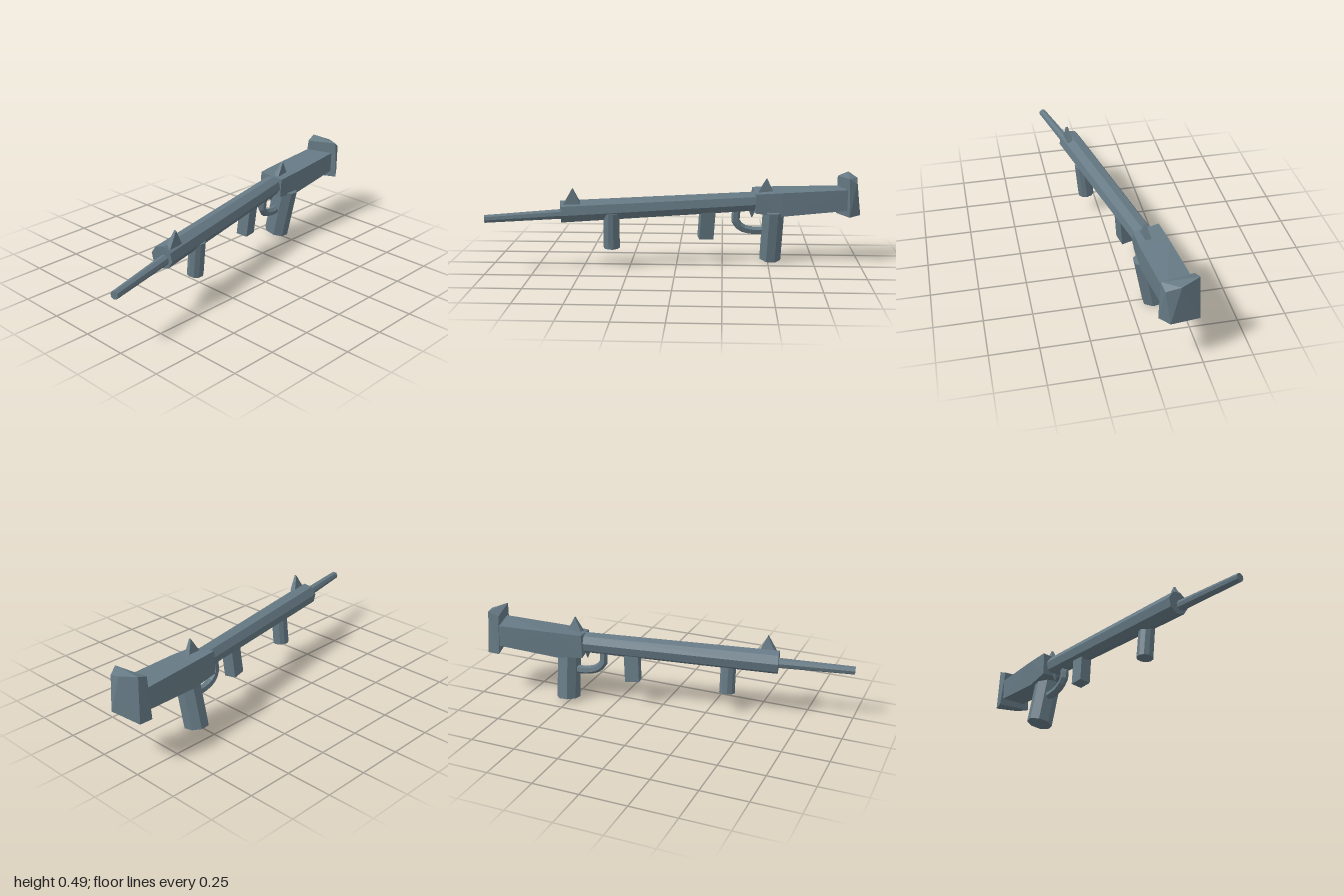
import * as THREE from 'three';
import { ConvexGeometry } from 'three/addons/geometries/ConvexGeometry.js';

const material = new THREE.MeshStandardMaterial({ color: 0x667a85, flatShading: true });
const V = (p) => new THREE.Vector3(...p);

export function createModel() {
  const group = new THREE.Group();

  const add = (name, geometry) => {
    const mesh = new THREE.Mesh(geometry, material);
    mesh.name = name;
    group.add(mesh);
    return mesh;
  };

  // Faceted rod from a to b; squash narrows it across its local x
  const rod = (name, a, b, ra, rb, sides, squash = 1) => {
    const dir = V(b).sub(V(a));
    const geo = new THREE.CylinderGeometry(rb, ra, dir.length(), sides);
    geo.rotateY(Math.PI / sides).scale(squash, 1, 1);
    const mesh = add(name, geo);
    mesh.quaternion.setFromUnitVectors(new THREE.Vector3(0, 1, 0), dir.normalize());
    mesh.position.copy(V(a).add(V(b)).multiplyScalar(0.5));
  };

  // Solid block spanned by its corner points
  const block = (name, corners) => add(name, new ConvexGeometry(corners.map(V)));

  // Barrel and main tube
  rod('barrel', [-0.995, 0.297, 0.22], [-0.58, 0.31, 0.125], 0.022, 0.028, 8);
  rod('mainTube', [-0.61, 0.319, 0.117], [0.45, 0.345, -0.097], 0.063, 0.056, 8);

  // Receiver and stock share the middle cross-section
  const rear = [
    [0.57, 0.4, -0.033], [0.57, 0.27, -0.035],
    [0.56, 0.265, -0.18], [0.56, 0.412, -0.185],
  ];
  block('receiver', [
    [0.43, 0.392, -0.028], [0.43, 0.286, -0.035],
    [0.405, 0.282, -0.165], [0.41, 0.41, -0.165], ...rear,
  ]);
  block('stock', [
    ...rear, [0.94, 0.415, -0.068], [0.94, 0.3, -0.072],
    [0.9, 0.295, -0.222], [0.9, 0.412, -0.222],
  ]);

  // Flared, slightly skewed butt plate
  block('buttPlate', [
    [0.885, 0.468, -0.215], [0.93, 0.48, -0.043],
    [0.885, 0.252, -0.24], [0.935, 0.268, -0.037],
    [0.943, 0.491, -0.225], [0.97, 0.45, -0.057],
    [0.98, 0.473, -0.13], [0.997, 0.275, -0.08], [0.955, 0.25, -0.235],
  ]);

  // Grips
  rod('frontGrip', [-0.345, 0.116, 0.07], [-0.343, 0.31, 0.089], 0.044, 0.043, 10);
  rod('rearGrip', [0.515, 0.018, -0.135], [0.527, 0.3, -0.08], 0.073, 0.073, 8, 0.84);

  // Magazine hanging under the tube
  const magazine = add('magazine', new THREE.BoxGeometry(0.078, 0.16, 0.065));
  magazine.position.set(0.162, 0.225, -0.043);
  magazine.rotation.set(0.1, 0.2, -0.07);

  // Trigger guard and trigger
  const guardPath = new THREE.CatmullRomCurve3([
    [0.325, 0.3, -0.07], [0.322, 0.235, -0.075], [0.36, 0.195, -0.085],
    [0.42, 0.18, -0.095], [0.49, 0.18, -0.105],
  ].map(V));
  add('triggerGuard', new THREE.TubeGeometry(guardPath, 8, 0.023, 6));
  rod('trigger', [0.41, 0.255, -0.09], [0.41, 0.3, -0.09], 0.003, 0.022, 5);

  // Wedge-shaped sights
  const sight = (name, x, y, z, height) => {
    const pts = [[x + 0.005, y + height, z + 0.014], [x + 0.005, y + height, z + 0.002]];
    for (const s of [-1, 1])
      for (const d of [-0.018, 0.017])
        pts.push([x + s * 0.044, y, z + d - s * 0.005]);
    block(name, pts);
  };
  sight('frontSight', -0.545, 0.365, 0.133, 0.086);
  sight('rearSight', 0.483, 0.392, -0.084, 0.083);

  return group;
}
